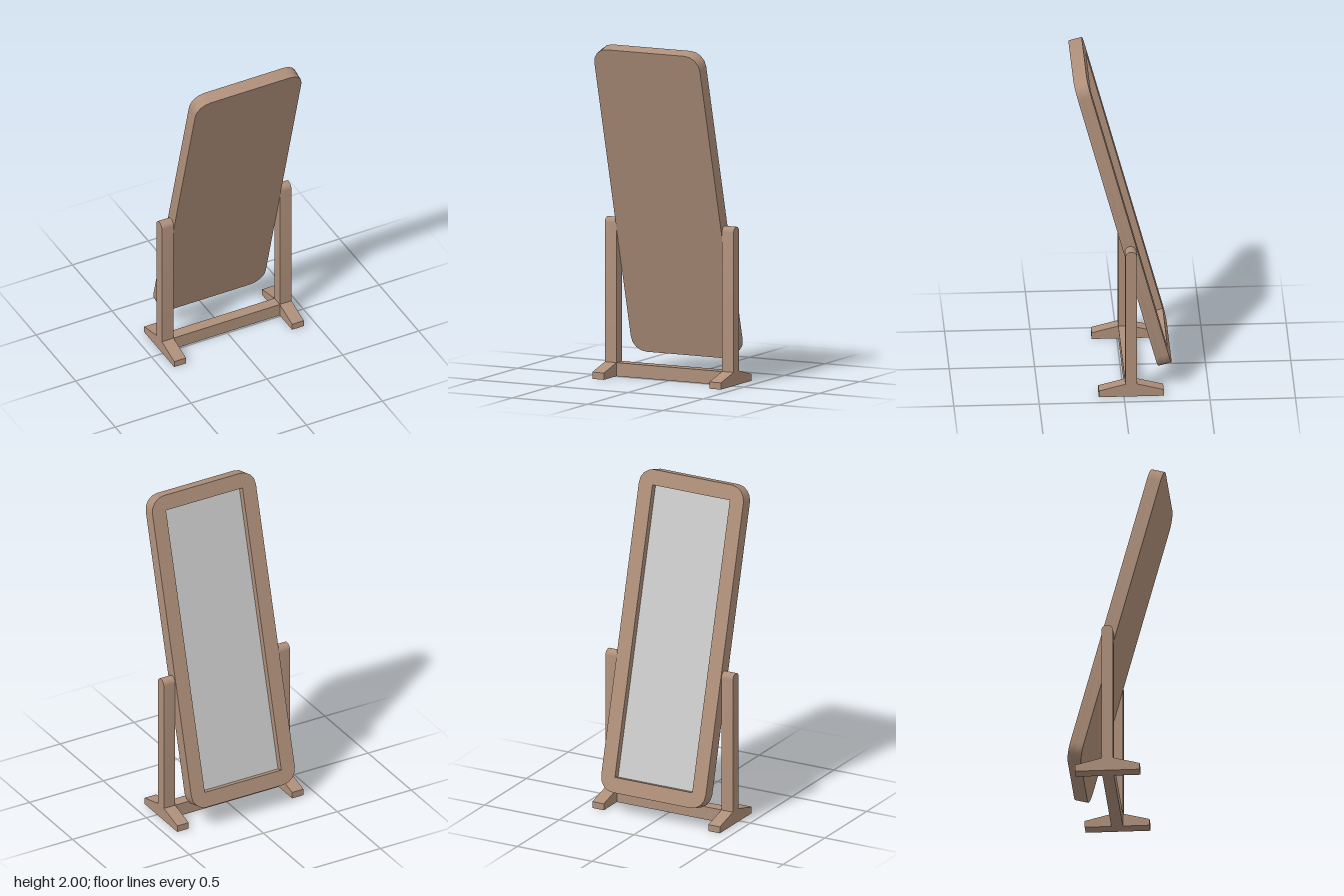
import * as THREE from 'three';
import { toCreasedNormals } from 'three/addons/utils/BufferGeometryUtils.js';

const wood = new THREE.MeshStandardMaterial({ color: 0xae8f7a });
wood.name = 'wood';
const glass = new THREE.MeshStandardMaterial({ color: 0xcacaca });
glass.name = 'mirror glass';

// Main sizes
const W = 0.7, H = 1.921, T = 0.081, CORNER = 0.09;
const OPEN_W = 0.518, OPEN_H = 1.739, RECESS = 0.042;
const TILT = THREE.MathUtils.degToRad(15);
const POST_Z = -0.043, POST_R = 0.034, POST_W = 0.077, POST_TOP = 0.937, FOOT_H = 0.08;

function addMesh(parent, name, geometry, material) {
  const mesh = new THREE.Mesh(geometry, material);
  mesh.name = name;
  parent.add(mesh);
  return mesh;
}

function extrude(shape, depth, curveSegments) {
  const g = new THREE.ExtrudeGeometry(shape, { depth, curveSegments, bevelEnabled: false });
  return toCreasedNormals(g, Math.PI / 3);
}

// Rectangle with coarsely rounded corners
function roundedRect(w, h, r) {
  const x = w / 2 - r, y = h / 2 - r;
  const s = new THREE.Shape();
  s.absarc(x, y, r, 0, Math.PI / 2);
  s.absarc(-x, y, r, Math.PI / 2, Math.PI);
  s.absarc(-x, -y, r, Math.PI, Math.PI * 1.5);
  s.absarc(x, -y, r, Math.PI * 1.5, Math.PI * 2);
  s.closePath();
  return s;
}

// Side profile (z, y) extruded along x, centred on x = 0
function sideProfile(shape, width) {
  return extrude(shape, width, 10).rotateY(-Math.PI / 2).translate(width / 2, 0, 0);
}

export function createModel() {
  const model = new THREE.Group();
  model.name = 'standingMirror';

  // Tilted mirror: solid backing, raised rim and recessed glass facing -z
  const mirror = new THREE.Group();
  mirror.name = 'tiltingMirror';
  mirror.position.set(0, 1.062, 0);
  mirror.rotation.x = TILT;
  model.add(mirror);

  const backing = addMesh(mirror, 'backingPanel', extrude(roundedRect(W, H, CORNER), T - RECESS, 2), wood);
  backing.position.z = -T / 2 + RECESS;

  const rimShape = roundedRect(W, H, CORNER);
  const a = OPEN_W / 2, b = OPEN_H / 2;
  rimShape.holes.push(new THREE.Path([
    new THREE.Vector2(-a, -b), new THREE.Vector2(-a, b),
    new THREE.Vector2(a, b), new THREE.Vector2(a, -b),
  ]));
  const rim = addMesh(mirror, 'frameRim', extrude(rimShape, RECESS, 2), wood);
  rim.position.z = -T / 2;

  const pane = addMesh(mirror, 'glassPane', new THREE.BoxGeometry(OPEN_W, OPEN_H, 0.004), glass);
  pane.position.z = -T / 2 + RECESS;

  // Post with a rounded top
  const postShape = new THREE.Shape();
  postShape.moveTo(-POST_R, FOOT_H);
  postShape.lineTo(POST_R, FOOT_H);
  postShape.absarc(0, POST_TOP - POST_R, POST_R, 0, Math.PI);
  postShape.closePath();
  const postGeometry = sideProfile(postShape, POST_W);

  // Foot tapering toward both tips
  const footShape = new THREE.Shape([
    [-0.19, 0], [0.19, 0], [0.19, 0.04], [POST_R, FOOT_H], [-POST_R, FOOT_H], [-0.19, 0.04],
  ].map(([z, y]) => new THREE.Vector2(z, y)));
  const footGeometry = toCreasedNormals(sideProfile(footShape, POST_W), 0.1);

  for (const [side, sign] of [['left', 1], ['right', -1]]) {
    const support = new THREE.Group();
    support.name = side + 'Support';
    support.position.set(sign * (W / 2 + POST_W / 2), 0, POST_Z);
    addMesh(support, side + 'Post', postGeometry, wood);
    addMesh(support, side + 'Foot', footGeometry, wood);
    model.add(support);
  }

  // Crossbar joining the feet
  const bar = addMesh(model, 'crossbar', new THREE.BoxGeometry(W, FOOT_H, POST_R * 2), wood);
  bar.position.set(0, FOOT_H / 2, POST_Z);

  return model;
}
